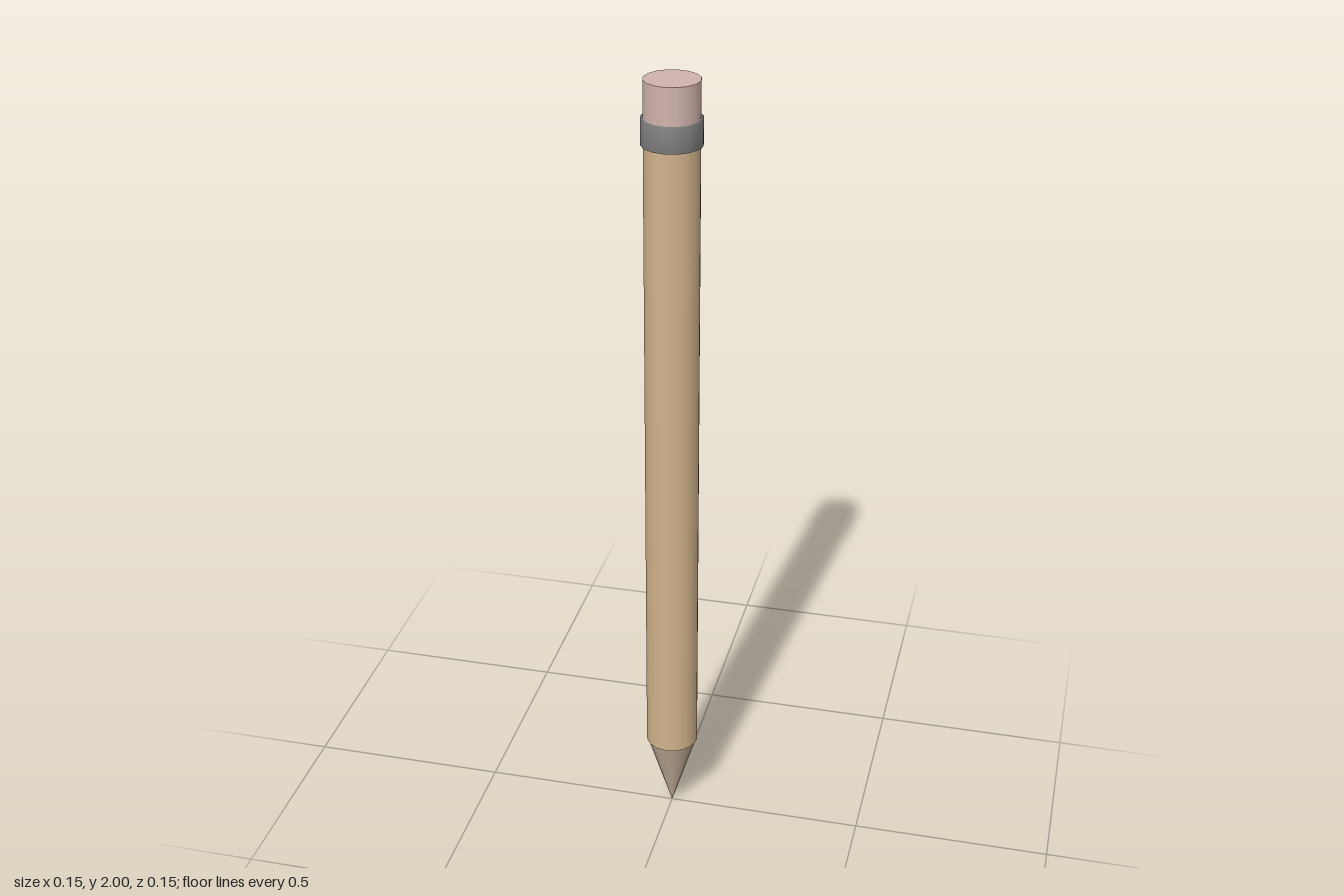
import * as THREE from 'three';

const SIDES = 16;

export function createModel() {
  const pencil = new THREE.Group();
  pencil.name = 'pencil';

  const addPart = (name, geometry, color, y = 0) => {
    const mesh = new THREE.Mesh(geometry, new THREE.MeshStandardMaterial({ color }));
    mesh.name = name;
    mesh.position.y = y;
    pencil.add(mesh);
  };

  // Upright cylinder between two heights
  const addCylinder = (name, radius, bottom, top, color) =>
    addPart(name, new THREE.CylinderGeometry(radius, radius, top - bottom, SIDES), color, (bottom + top) / 2);

  // Sharpened point, facing down
  addPart('tip', new THREE.CylinderGeometry(0.064, 0, 0.207, SIDES), 0xc4b09a, 0.1035);

  // Wooden shaft and eraser
  addCylinder('shaft', 0.067, 0.207, 1.88, 0xd2b48c);
  addCylinder('eraser', 0.067, 1.88, 2, 0xd2b4ae);

  // Metal band with softly shaded rims, closed on the inside
  const bandProfile = [[0.064, 1.848], [0.073, 1.848], [0.073, 1.91], [0.064, 1.91]]
    .map(([r, y]) => new THREE.Vector2(r, y));
  addPart('band', new THREE.LatheGeometry(bandProfile, SIDES), 0x808080);

  return pencil;
}
